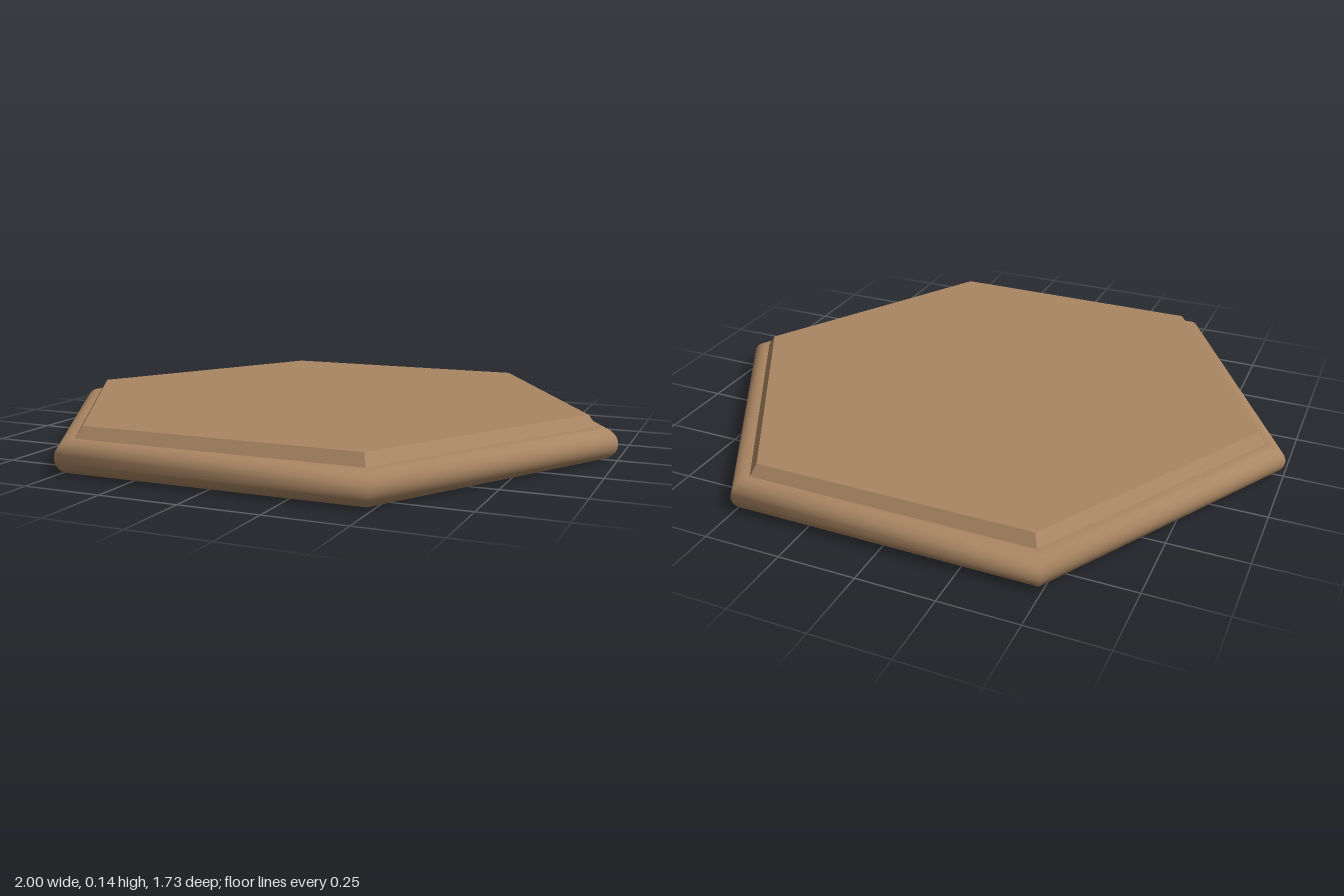
import * as THREE from 'three';

export function createModel() {
  const group = new THREE.Group();
  const wood = new THREE.MeshStandardMaterial({ color: 0xaa8663, side: THREE.DoubleSide });
  wood.name = 'warm brown';

  // Six-sided shell turned from a profile of [radius, height] points, corner on +x
  const hexShell = (points) =>
    new THREE.LatheGeometry(points.map(([r, y]) => new THREE.Vector2(r, y)), 6, Math.PI / 2);

  // Rounded rim: half-round profile with a narrow lip underneath, open below
  const rimProfile = [[0.915, 0]];
  const steps = 14;
  for (let i = 0; i <= steps; i++) {
    const a = -Math.PI / 2 + (i / steps) * Math.PI;
    rimProfile.push([0.942 + 0.058 * Math.cos(a), 0.052 + 0.052 * Math.sin(a)]);
  }
  rimProfile.push([0.93, 0.104]);
  const rim = new THREE.Mesh(hexShell(rimProfile), wood);
  rim.name = 'roundedRim';
  group.add(rim);

  // Raised top plate with a flat chamfer, hollow underneath
  const plateGeometry = hexShell([[0.932, 0.104], [0.905, 0.14], [0, 0.14]]).toNonIndexed();
  plateGeometry.computeVertexNormals();
  const plate = new THREE.Mesh(plateGeometry, wood);
  plate.name = 'chamferedTop';
  group.add(plate);

  return group;
}
